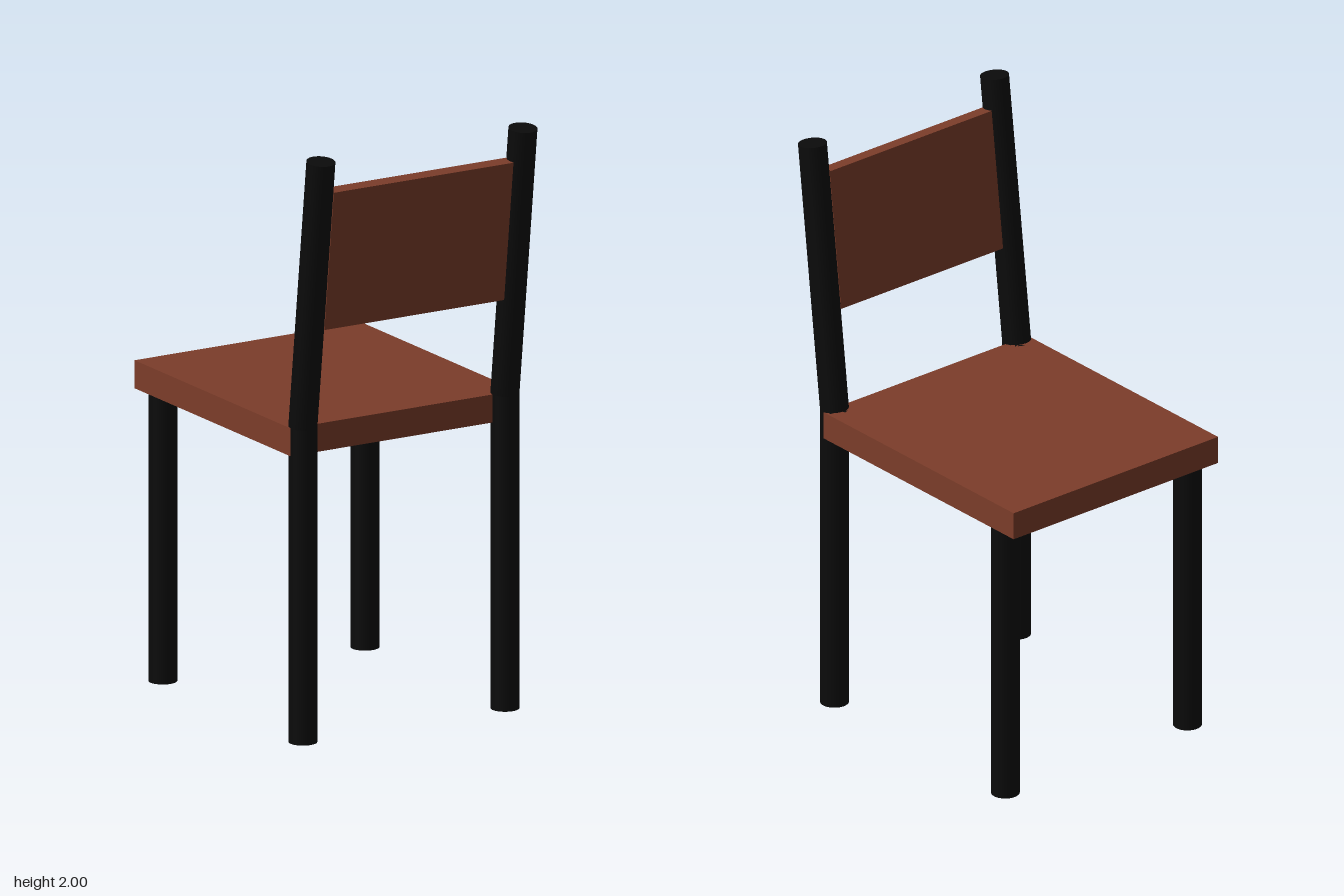
import * as THREE from 'three';

export function createModel() {
  const chair = new THREE.Group();
  chair.name = 'chair';
  const wood = new THREE.MeshStandardMaterial({ color: 0x7c3d2a });
  const black = new THREE.MeshStandardMaterial({ color: 0x0b0b0b });

  const radius = 0.0475, legX = 0.388;
  const seatBottom = 0.975, seatTop = 1.07;
  const rearZ = 0.404, frontZ = -0.464;
  const tilt = THREE.MathUtils.degToRad(6.9);

  const add = (parent, name, geometry, material, x, y, z) => {
    const mesh = new THREE.Mesh(geometry, material);
    mesh.name = name;
    mesh.position.set(x, y, z);
    parent.add(mesh);
    return mesh;
  };
  const rod = (length) => new THREE.CylinderGeometry(radius, radius, length, 32);

  // Seat slab, ending on the centre line of the rear legs
  add(chair, 'seat', new THREE.BoxGeometry(0.871, seatTop - seatBottom, 0.967), wood,
    0, (seatTop + seatBottom) / 2, -0.0795);

  // Backrest, leaning backwards from the top of the rear legs
  const backrest = new THREE.Group();
  backrest.name = 'backrest';
  backrest.position.set(0, seatTop, rearZ);
  backrest.rotation.x = tilt;
  chair.add(backrest);
  add(backrest, 'backPanel', new THREE.BoxGeometry(0.69, 0.483, 0.048), wood, 0, 0.582, 0);

  // Legs and posts, mirrored left and right
  const postLength = (2 - seatTop - radius * Math.sin(tilt)) / Math.cos(tilt);
  for (const [side, s] of [['left', 1], ['right', -1]]) {
    add(chair, side + 'FrontLeg', rod(seatBottom), black, s * legX, seatBottom / 2, frontZ);
    add(chair, side + 'RearLeg', rod(seatTop), black, s * legX, seatTop / 2, rearZ);
    add(backrest, side + 'BackPost', rod(postLength), black, s * legX, postLength / 2, 0);
  }
  return chair;
}
